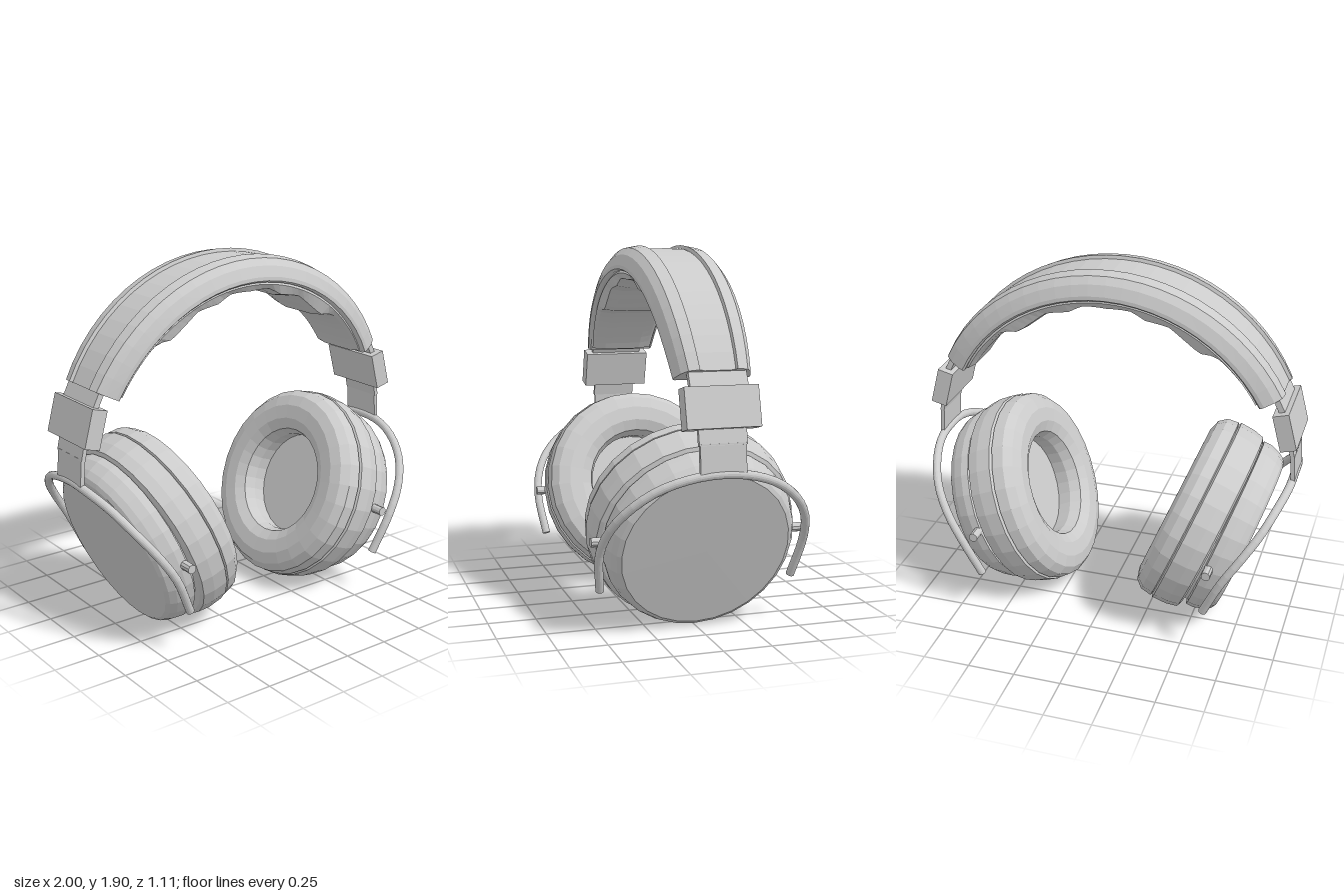
import * as THREE from 'three';

const material = new THREE.MeshStandardMaterial({ color: 0xcccccc, flatShading: true });
const { degToRad, radToDeg } = THREE.MathUtils;
const BAND_Y = 0.8915; // centre height of the headband arc
const BAND_END = degToRad(63.3);

function mesh(name, geometry) {
  const m = new THREE.Mesh(geometry, material);
  m.name = name;
  return m;
}

// Sweep a closed [radius, z] section around the headband arc, with capped ends
function arcLoft(section, end, steps) {
  const pos = [], index = [];
  const n = section(0).length;
  const put = (a, r, z) => pos.push(r * Math.sin(a), BAND_Y + r * Math.cos(a), z);
  for (let j = 0; j <= steps; j++) {
    const a = -end + (2 * end * j) / steps;
    section(a).forEach(([r, z]) => put(a, r, z));
  }
  for (let j = 0; j < steps; j++) {
    for (let i = 0; i < n; i++) {
      const k = (i + 1) % n, p = j * n, q = p + n;
      index.push(p + i, p + k, q + k, p + i, q + k, q + i);
    }
  }
  for (const [a, row] of [[-end, 0], [end, steps * n]]) {
    const c = pos.length / 3;
    put(a, section(a).reduce((s, p) => s + p[0], 0) / n, 0);
    for (let i = 0; i < n; i++) {
      const k = (i + 1) % n;
      if (row) index.push(c, row + i, row + k);
      else index.push(c, row + k, row + i);
    }
  }
  const g = new THREE.BufferGeometry();
  g.setAttribute('position', new THREE.Float32BufferAttribute(pos, 3));
  g.setIndex(index);
  g.computeVertexNormals();
  return g;
}

// Full section from its +z half: mirrored so that z rises along the outside
function mirrorSection(half, widthScale) {
  const right = half.map(([r, z]) => [r, z * widthScale]);
  const left = right.map(([r, z]) => [r, -z]).reverse();
  return [...left, ...right];
}

const bandWidth = (a) => 1 - 0.16 * Math.abs(a / BAND_END) ** 3;

// Outer shell: recessed centre panel, raised side panels, rolled edges
const shellSection = (a) => mirrorSection([
  [1.006, 0.1], [1.004, 0.106], [1.022, 0.112], [1.01, 0.175], [0.975, 0.207],
  [0.92, 0.229], [0.9, 0.23], [0.89, 0.215],
], bandWidth(a));

// Cushion underside: [degrees from the top, radius]
const SCALLOPS = [
  [0, 0.832], [8.3, 0.841], [14.3, 0.815], [22.5, 0.833], [29, 0.813],
  [36, 0.802], [41, 0.85], [53, 0.857], [64, 0.866],
];

function cushionSection(a) {
  const deg = Math.abs(radToDeg(a));
  const i = SCALLOPS.findIndex(([d]) => d > deg);
  const [d0, r0] = SCALLOPS[i - 1], [d1, r1] = SCALLOPS[i];
  const r = THREE.MathUtils.mapLinear(deg, d0, d1, r0, r1);
  return mirrorSection([[0.9, 0.19], [0.878, 0.207], [r + 0.012, 0.185], [r, 0.12]], bandWidth(a));
}

// Flat bar between two points of the xy plane
function bar(name, [x1, y1], [x2, y2], thick, depth) {
  const dx = x2 - x1, dy = y2 - y1;
  const m = mesh(name, new THREE.BoxGeometry(thick, Math.hypot(dx, dy), depth));
  m.position.set((x1 + x2) / 2, (y1 + y2) / 2, 0);
  m.rotation.z = Math.atan2(-dx, dy);
  return m;
}

function lathe(name, profile) {
  return mesh(name, new THREE.LatheGeometry(profile.map(([r, y]) => new THREE.Vector2(r, y)), 28));
}

// Ear cup: its axis runs from the ear outward, then the whole is tilted
function createEarCup() {
  const cup = new THREE.Group();
  cup.name = 'earCup';
  cup.add(lathe('earPad', [
    [0, 0.26], [0.285, 0.26], [0.275, 0.18], [0.295, 0.12], [0.35, 0.09], [0.425, 0.086],
    [0.485, 0.104], [0.52, 0.145], [0.528, 0.206], [0.516, 0.212], [0.533, 0.22],
    [0.53, 0.3], [0.516, 0.36], [0.495, 0.37], [0, 0.37],
  ]));
  // The housing leans a little against the pad, so the gap opens at the bottom
  const housing = lathe('cupHousing', [
    [0, 0.35], [0.46, 0.35], [0.465, 0.382], [0.49, 0.388], [0.49, 0.43],
    [0.472, 0.485], [0.452, 0.518], [0.43, 0.532], [0, 0.535],
  ]);
  housing.rotation.z = degToRad(1.6);
  cup.add(housing);
  cup.position.set(0.2515, 0.625, 0);
  cup.rotation.z = degToRad(-112);
  return cup;
}

// Bent rod that carries the cup from front to back
function createYoke() {
  const half = [
    [0.975, 0.863, 0], [0.97, 0.848, 0.15], [0.935, 0.795, 0.3], [0.88, 0.705, 0.42],
    [0.8, 0.59, 0.5], [0.71, 0.45, 0.53], [0.615, 0.245, 0.505],
  ].map((p) => new THREE.Vector3(...p));
  const back = half.slice(1).reverse().map((p) => new THREE.Vector3(p.x, p.y, -p.z));
  const shape = new THREE.Shape();
  shape.absarc(0, 0, 0.022, 0, Math.PI * 2);
  return mesh('yoke', new THREE.ExtrudeGeometry(shape, {
    steps: 36, curveSegments: 8, extrudePath: new THREE.CatmullRomCurve3([...back, ...half]),
  }));
}

function createSide(name) {
  const side = new THREE.Group();
  side.name = name;
  side.add(createEarCup(), createYoke());
  side.add(bar('upperStrap', [0.845, 1.39], [0.92, 1.24], 0.03, 0.29));
  side.add(bar('sliderBlock', [0.957, 1.075], [0.906, 1.268], 0.085, 0.37));
  side.add(bar('lowerStrap', [0.95, 1.1], [0.972, 1], 0.022, 0.24));
  side.add(bar('strapEnd', [0.971, 1.01], [0.98, 0.86], 0.022, 0.23));
  for (const s of [1, -1]) {
    const pin = mesh('pivotPin', new THREE.CylinderGeometry(0.024, 0.024, 0.09, 10));
    pin.rotation.x = Math.PI / 2;
    pin.position.set(0.635, 0.495, s * 0.51);
    side.add(pin);
  }
  return side;
}

export function createModel() {
  const model = new THREE.Group();
  model.name = 'headphones';
  model.add(mesh('headbandShell', arcLoft(shellSection, BAND_END, 24)));
  model.add(mesh('headbandCushion', arcLoft(cushionSection, degToRad(62), 44)));
  // Each side is symmetric front to back, so a half turn gives the other one
  const right = createSide('rightSide');
  right.rotation.y = Math.PI;
  model.add(createSide('leftSide'), right);
  return model;
}
